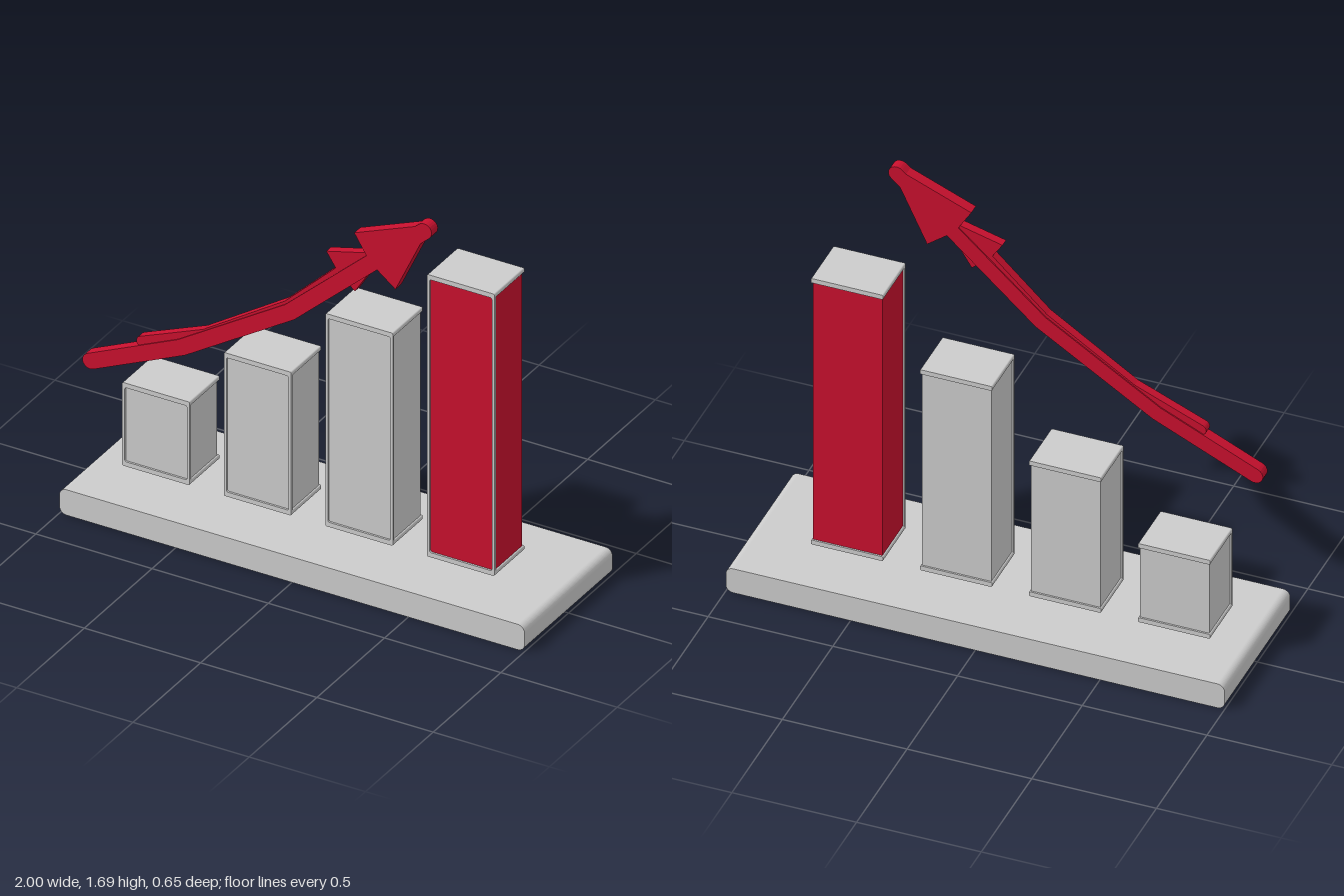
import * as THREE from 'three';

const grey = new THREE.MeshStandardMaterial({ color: 0xcccccc });
const red = new THREE.MeshStandardMaterial({ color: 0xc8102e });

function add(parent, name, geometry, material, x = 0, y = 0, z = 0) {
  const mesh = new THREE.Mesh(geometry, material);
  mesh.name = name;
  mesh.position.set(x, y, z);
  parent.add(mesh);
  return mesh;
}

// Extrusion centred on its own z = 0
function slab(shape, depth) {
  return new THREE.ExtrudeGeometry(shape, { depth, bevelEnabled: false, curveSegments: 6 })
    .translate(0, 0, -depth / 2);
}

// Rectangle with rounded corners, centred on the origin
function roundedRect(w, h, r, Type = THREE.Shape) {
  const s = new Type(), x = w / 2, y = h / 2;
  s.moveTo(-x + r, -y);
  s.lineTo(x - r, -y).absarc(x - r, -y + r, r, -Math.PI / 2, 0);
  s.lineTo(x, y - r).absarc(x - r, y - r, r, 0, Math.PI / 2);
  s.lineTo(-x + r, y).absarc(-x + r, y - r, r, Math.PI / 2, Math.PI);
  s.lineTo(-x, -y + r).absarc(-x + r, -y + r, r, Math.PI, Math.PI * 1.5);
  return s;
}

// Outline of a bent line of radius r with mitred joints and round ends
function strokeShape(path, r) {
  const pts = path.map(([x, y]) => new THREE.Vector2(x, y));
  const dirs = pts.slice(1).map((p, i) => p.clone().sub(pts[i]).normalize());
  const normal = (d) => new THREE.Vector2(-d.y, d.x);
  const upper = [], lower = [];
  for (let i = 1; i < pts.length - 1; i++) {
    const a = normal(dirs[i - 1]), m = a.clone().add(normal(dirs[i])).normalize();
    m.multiplyScalar(r / m.dot(a));
    upper.push(pts[i].clone().add(m));
    lower.push(pts[i].clone().sub(m));
  }
  const cap = (p, start) => Array.from({ length: 11 }, (_, k) => {
    const t = start + (Math.PI * k) / 10;
    return new THREE.Vector2(p.x + r * Math.cos(t), p.y + r * Math.sin(t));
  });
  const first = dirs[0].angle(), last = dirs[dirs.length - 1].angle();
  return new THREE.Shape([
    ...cap(pts[0], first + Math.PI / 2), ...lower,
    ...cap(pts[pts.length - 1], last - Math.PI / 2), ...upper.reverse(),
  ]);
}

// One column: body, end plates and a raised frame round the front
function makeBar(name, x, top, material) {
  const bar = new THREE.Group();
  bar.name = name;
  const bottom = 0.14, w = 0.29, t = 0.02, h = top - bottom, mid = (top + bottom) / 2;
  add(bar, 'barBody', new THREE.BoxGeometry(w - 0.012, h - 2 * t, 0.206), material, x, mid, 0);
  const plate = slab(roundedRect(w, t, 0.006), 0.22);
  add(bar, 'bottomPlate', plate, grey, x, bottom + t / 2, 0);
  add(bar, 'topPlate', plate, grey, x, top - t / 2, 0);
  const frame = roundedRect(w, h, 0.006);
  frame.holes.push(roundedRect(w - 0.022, h - 2 * t, 0.008, THREE.Path));
  add(bar, 'frontFrame', slab(frame, 0.01), grey, x, mid, 0.106);
  return bar;
}

// Shaft and barbed head lying in the xy plane
function makeArrow(name, path, radius, head, depth) {
  const arrow = new THREE.Group();
  arrow.name = name;
  add(arrow, 'arrowShaft', slab(strokeShape(path, radius), depth), red);
  const shape = new THREE.Shape(head.map(([x, y]) => new THREE.Vector2(x, y)));
  add(arrow, 'arrowHead', slab(shape, depth), red);
  arrow.position.z = 0.26;
  return arrow;
}

export function createModel() {
  const model = new THREE.Group();
  model.name = 'growthChart';

  // Base slab with rounded long-end edges
  add(model, 'base', slab(roundedRect(2, 0.11, 0.03), 0.65), grey, 0, 0.055, 0);

  // Rising columns, the tallest in red
  [0.5, 0.76, 1.06, 1.36].forEach((top, i) => {
    model.add(makeBar(`bar${i + 1}`, -0.71 + i * 0.437, top, i === 3 ? red : grey));
  });

  // Rising arrow in front of the columns
  model.add(makeArrow('trendArrow',
    [[-0.893, 0.667], [-0.5, 0.845], [-0.035, 1.137], [0.543, 1.66]], 0.033,
    [[0.243, 1.564], [0.31, 1.457], [0.42, 1.372], [0.56, 1.67], [0.53, 1.68]], 0.046));

  // Smaller arrow overlapping it
  model.add(makeArrow('innerArrow',
    [[-0.675, 0.815], [-0.4, 0.928], [-0.045, 1.158], [0.24, 1.43]], 0.022,
    [[0.12, 1.445], [0.17, 1.37], [0.243, 1.308], [0.37, 1.51]], 0.036));

  return model;
}
